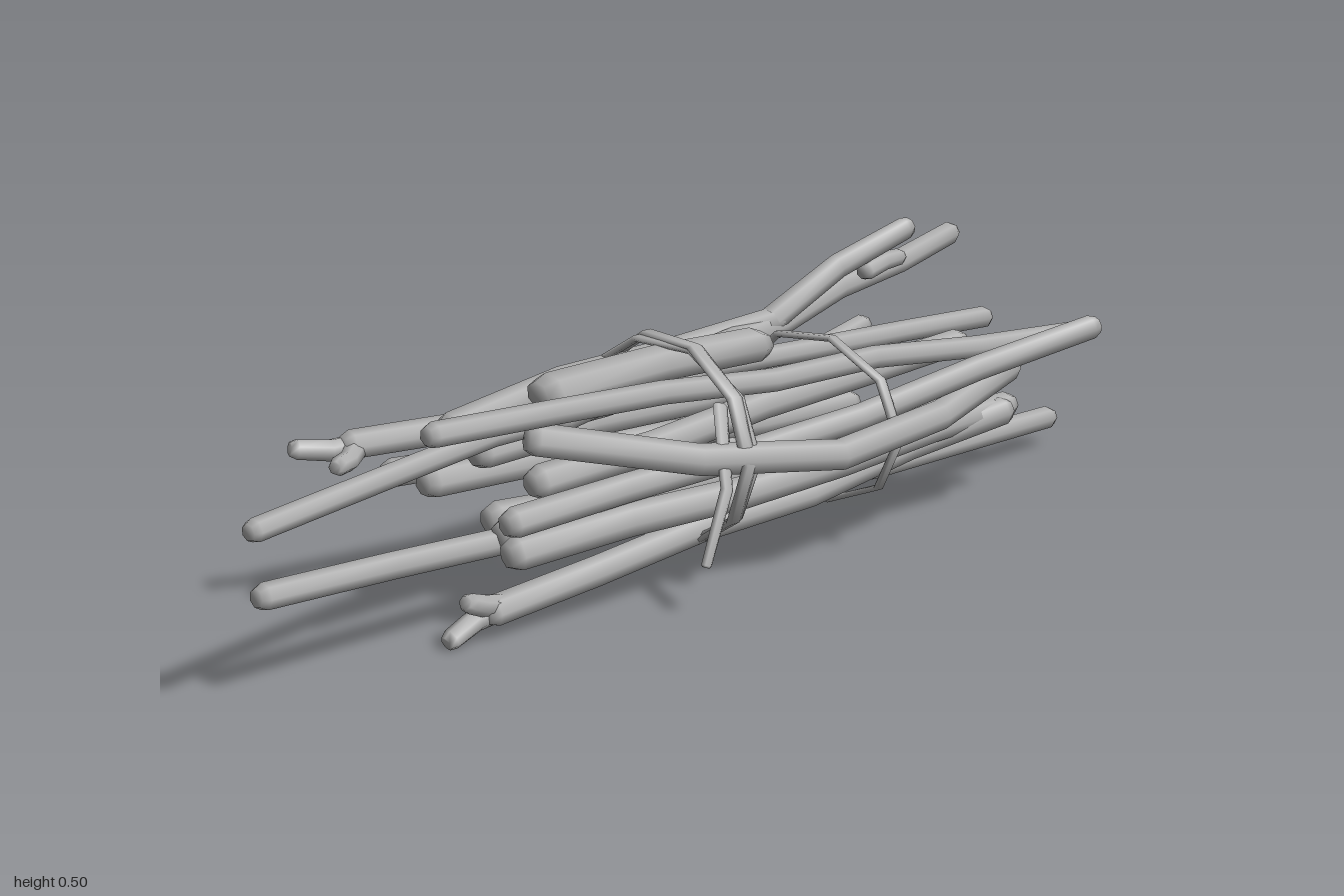
import * as THREE from 'three';

// Sweeps an oval ring along a path; ru and rv are the half sizes of the oval.
function sweep(path, ru, rv, { ref, sides = 7, closed = false, taper = 1 }) {
  const p = [...path];
  const scale = p.map((_, i) => 1 + (taper - 1) * i / (p.length - 1));
  if (!closed) {
    // narrowed rings give bevelled ends
    const end = p.length - 1, bevel = ru * 0.6;
    const toward = (a, b) => a.clone().addScaledVector(b.clone().sub(a).normalize(), bevel);
    const first = toward(p[0], p[1]), last = toward(p[end], p[end - 1]);
    p.splice(end, 0, last);
    p.splice(1, 0, first);
    scale.unshift(0.7);
    scale.push(taper * 0.7);
  }
  const n = p.length, pos = [], idx = [];
  for (let i = 0; i < n; i++) {
    const prev = closed ? p[(i + n - 1) % n] : p[Math.max(i - 1, 0)];
    const next = closed ? p[(i + 1) % n] : p[Math.min(i + 1, n - 1)];
    const t = next.clone().sub(p[i]).normalize().add(p[i].clone().sub(prev).normalize()).normalize();
    const u = ref.clone().cross(t).normalize(), v = t.clone().cross(u);
    for (let j = 0; j < sides; j++) {
      const a = (j + 0.5) / sides * Math.PI * 2;
      const q = p[i].clone()
        .addScaledVector(u, Math.cos(a) * ru * scale[i])
        .addScaledVector(v, Math.sin(a) * rv * scale[i]);
      pos.push(q.x, q.y, q.z);
    }
  }
  for (let i = 0; i < (closed ? n : n - 1); i++) {
    for (let j = 0; j < sides; j++) {
      const k = (j + 1) % sides, m = (i + 1) % n;
      const a = i * sides + j, b = i * sides + k, c = m * sides + j, d = m * sides + k;
      idx.push(a, b, c, b, d, c);
    }
  }
  if (!closed) {
    const last = (n - 1) * sides;
    for (let j = 1; j < sides - 1; j++) idx.push(0, j + 1, j, last, last + j, last + j + 1);
  }
  const g = new THREE.BufferGeometry();
  g.setAttribute('position', new THREE.Float32BufferAttribute(pos, 3));
  g.setIndex(idx);
  g.computeVertexNormals();
  return g;
}

export function createModel() {
  const model = new THREE.Group();
  model.name = 'stickBundle';
  const grey = new THREE.MeshStandardMaterial({ color: 0xb0b0b0 });
  grey.name = 'grey';
  const UP = new THREE.Vector3(0, 1, 0), ALONG = new THREE.Vector3(1, 0, 0);

  const add = (name, geometry) => {
    const mesh = new THREE.Mesh(geometry, grey);
    mesh.name = name;
    model.add(mesh);
  };

  // A stick runs between two ends, bowed in y and z at its middle, with slight natural kinks
  const stick = (name, r, from, to, [bowY, bowZ] = [0, 0], taper = 0.85, flat = 1) => {
    const a = new THREE.Vector3(...from), b = new THREE.Vector3(...to);
    const steps = Math.max(2, Math.round(a.distanceTo(b) / 0.25));
    const path = Array.from({ length: steps + 1 }, (_, i) => {
      const t = i / steps, arc = Math.sin(Math.PI * t);
      const kink = 0.006 * arc * Math.sin(i * 2.4 + a.x * 40);
      return a.clone().lerp(b, t).add(new THREE.Vector3(0, bowY * arc + kink, bowZ * arc - kink));
    });
    add(name, sweep(path, r, r * flat, { ref: UP, taper }));
  };

  // Upper sticks
  stick('topLog', 0.042, [-0.36, 0.362, 0.03], [0.13, 0.365, 0.04], [0.006, 0.01], 0.95, 0.75);
  stick('longBackStick', 0.027, [-0.36, 0.33, 0.07], [0.99, 0.38, -0.31], [-0.012, 0]);
  stick('longLeftStick', 0.019, [-1, 0.305, 0.16], [0.83, 0.275, -0.07], [0.03, -0.045], 1.1);
  stick('upperFrontStick', 0.021, [-0.68, 0.385, 0.16], [0.87, 0.27, 0.11], [-0.005, -0.04], 1);

  // Front sticks
  stick('bowedFrontStick', 0.028, [-0.44, 0.32, 0.1], [0.63, 0.265, 0.17], [-0.07, 0.125], 0.95);
  stick('risingFrontStick', 0.026, [-0.51, 0.2, 0.13], [0.7, 0.35, 0.305], [-0.04, -0.05]);
  stick('lowerFrontStick', 0.03, [-0.5, 0.145, 0.12], [0.63, 0.19, 0.17], [0.005, 0.035]);

  // Low sticks
  stick('lowLeftStick', 0.022, [-0.94, 0.17, 0.08], [0.62, 0.2, -0.2], [-0.045, 0.055], 1.1);
  stick('lowRightStick', 0.026, [-0.4, 0.13, 0.04], [0.97, 0.06, -0.02], [-0.005, 0.02]);
  stick('lowForkStick', 0.026, [-0.53, 0.05, 0.1], [0.6, 0.19, 0.19], [-0.015, -0.025], 1);
  stick('lowForkTwigDown', 0.021, [-0.48, 0.055, 0.1], [-0.6, 0.015, 0.09]);
  stick('lowForkTwigUp', 0.02, [-0.49, 0.055, 0.1], [-0.58, 0.085, 0.115], [-0.01, 0]);

  // Back sticks
  stick('backStick', 0.025, [-0.51, 0.21, -0.19], [0.62, 0.275, -0.19], [-0.03, 0.08]);
  stick('backForkStick', 0.025, [-0.61, 0.285, -0.16], [0.6, 0.2, -0.21], [0.015, 0.055], 1.1);
  stick('backForkTwigOuter', 0.02, [-0.56, 0.28, -0.16], [-0.69, 0.29, -0.19]);
  stick('backForkTwigInner', 0.019, [-0.58, 0.28, -0.16], [-0.66, 0.27, -0.11]);

  // Raised stick with a bent, forked end
  stick('raisedStick', 0.027, [-0.49, 0.31, -0.05], [0.32, 0.35, -0.11], [0.008, -0.01], 0.9);
  stick('raisedEnd', 0.025, [0.28, 0.345, -0.11], [0.61, 0.485, -0.07], [0.008, 0]);
  stick('raisedTwig', 0.019, [0.5, 0.41, -0.085], [0.62, 0.42, -0.1], [0.008, 0]);

  // Core sticks fill the inside in a twisted ring
  const coreCount = 5;
  for (let k = 0; k < coreCount; k++) {
    const at = (x, angle, spread) =>
      [x, 0.21 + 0.07 * spread * Math.sin(angle), 0.01 + 0.08 * spread * Math.cos(angle)];
    const angle = k / coreCount * Math.PI * 2 + 0.4;
    stick('coreStick', 0.029, at(-0.42 - 0.05 * (k % 3), angle, 1), at(0.62 - 0.07 * (k % 3), angle + 0.7, 1.25));
  }

  // Bindings: flat polygon loops around the bundle, leaning in x with z
  const binding = (name, corners, x, lean, [cy, cz], [ry, rz], width) => {
    const path = Array.from({ length: corners }, (_, i) => {
      const a = i / corners * Math.PI * 2, z = cz + rz * Math.cos(a);
      return new THREE.Vector3(x + lean * z, cy + ry * Math.sin(a), z);
    });
    add(name, sweep(path, 0.006, width, { ref: ALONG, sides: 6, closed: true }));
  };
  binding('mainBindingOuter', 10, -0.08, -0.06, [0.238, 0.04], [0.178, 0.205], 0.017);
  binding('mainBindingInner', 10, -0.1, 0.1, [0.238, 0.04], [0.173, 0.2], 0.014);
  binding('sideBinding', 9, 0.255, -0.03, [0.215, 0.05], [0.148, 0.205], 0.013);

  // Loose end of the main binding
  const tail = [[-0.1, 0.33, 0.18], [-0.15, 0.21, 0.25], [-0.2, 0.09, 0.255]];
  add('bindingTail', sweep(tail.map(q => new THREE.Vector3(...q)), 0.006, 0.015,
    { ref: ALONG, sides: 6, taper: 0.8 }));

  return model;
}
